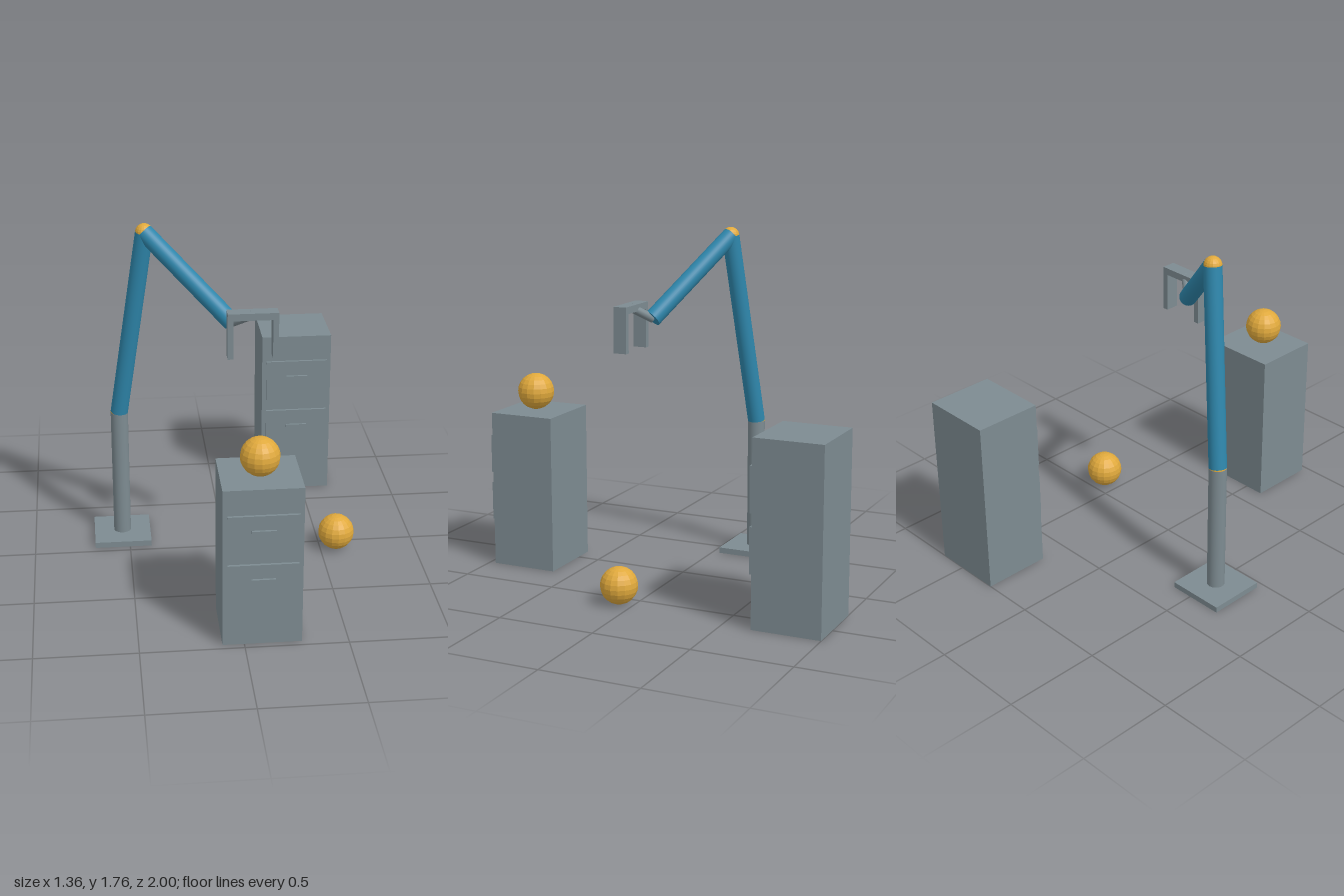
import * as THREE from 'three';

const steel = new THREE.MeshStandardMaterial({ color: 0x7d8b91 });
steel.name = 'steelGrey';
const blue = new THREE.MeshStandardMaterial({ color: 0x2e86ab });
blue.name = 'armBlue';
const amber = new THREE.MeshStandardMaterial({ color: 0xe0a93c });
amber.name = 'amber';

function add(parent, name, geometry, material, x = 0, y = 0, z = 0) {
  const mesh = new THREE.Mesh(geometry, material);
  mesh.name = name;
  mesh.position.set(x, y, z);
  parent.add(mesh);
  return mesh;
}

const box = (w, h, d) => new THREE.BoxGeometry(w, h, d);

// Faceted ball: unshared vertices give flat faces
function ball(radius) {
  const geometry = new THREE.SphereGeometry(radius, 16, 12).toNonIndexed();
  geometry.computeVertexNormals();
  return geometry;
}

// Cylinder running from point a to point b
function rod(parent, name, a, b, radius, material) {
  const span = b.clone().sub(a);
  const mesh = add(parent, name, new THREE.CylinderGeometry(radius, radius, span.length(), 32), material);
  mesh.position.copy(a).addScaledVector(span, 0.5);
  mesh.quaternion.setFromUnitVectors(new THREE.Vector3(0, 1, 0), span.normalize());
  return mesh;
}

// Cabinet with two drawers and bar handles, front face at z = front
function cabinet(name, x, front, height, drawerYs, drawerHeight) {
  const group = new THREE.Group();
  group.name = name;
  group.position.set(x, 0, front);
  add(group, 'cabinetBody', box(0.381, height, 0.349), steel, 0, height / 2, -0.1745);
  drawerYs.forEach((y) => {
    add(group, 'drawerFront', box(0.336, drawerHeight, 0.014), steel, 0, y, 0.014);
    add(group, 'drawerHandle', box(0.115, 0.015, 0.018), steel, 0, y + drawerHeight * 0.1, 0.024);
  });
  return group;
}

function robotArm() {
  const arm = new THREE.Group();
  arm.name = 'robotArm';
  const foot = new THREE.Vector3(-0.535, 0.03, -0.187);
  const shoulder = new THREE.Vector3(-0.535, 0.72, -0.187);
  const elbow = new THREE.Vector3(-0.39, 1.72, -0.092);
  const wrist = new THREE.Vector3(0.02, 1.327, 0.16);
  const grip = new THREE.Vector3(0.113, 1.391, 0.235);

  // Base, post and links
  add(arm, 'basePlate', box(0.297, 0.03, 0.297), steel, foot.x, 0.015, foot.z);
  rod(arm, 'post', foot, shoulder, 0.045, steel);
  rod(arm, 'upperArm', shoulder, elbow, 0.045, blue);
  rod(arm, 'forearm', elbow, wrist, 0.045, blue);
  rod(arm, 'wristRod', wrist, grip, 0.022, steel);

  // Joints
  add(arm, 'shoulderJoint', ball(0.045), amber, ...shoulder.toArray());
  add(arm, 'elbowJoint', ball(0.045), amber, ...elbow.toArray());

  // Gripper
  const gripper = new THREE.Group();
  gripper.name = 'gripper';
  gripper.position.copy(grip);
  add(gripper, 'gripperBar', box(0.25, 0.036, 0.07), steel);
  for (const side of [-1, 1]) {
    add(gripper, 'gripperFinger', box(0.028, 0.198, 0.07), steel, side * 0.111, -0.117, 0);
  }
  arm.add(gripper);
  return arm;
}

export function createModel() {
  const model = new THREE.Group();
  model.name = 'robotWorkcell';
  model.add(robotArm());
  model.add(cabinet('frontCabinet', 0.086, 0.967, 0.815, [0.59, 0.335], 0.2));
  model.add(cabinet('rearCabinet', 0.461, -0.651, 0.923, [0.67, 0.377], 0.228));
  add(model, 'cabinetBall', ball(0.095), amber, 0.086, 0.91, 0.81);
  add(model, 'floorBall', ball(0.094), amber, 0.583, 0.096, 0.073);
  return model;
}
